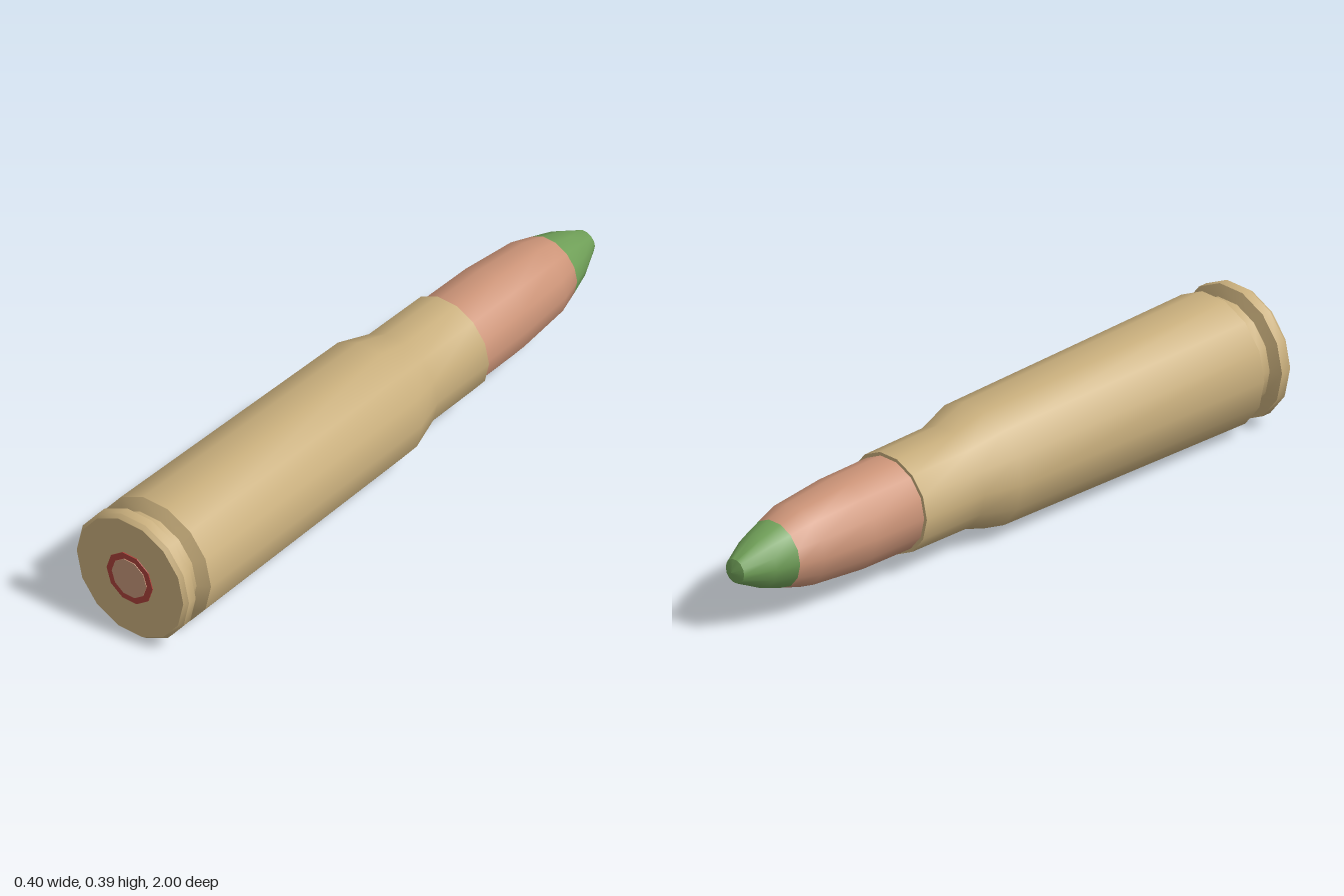
import * as THREE from 'three';
import { toCreasedNormals } from 'three/addons/utils/BufferGeometryUtils.js';

const AXIS_Y = 0.195; // height of the long axis

// Turned part along z; profile is a list of [z, radius] from back to front
function turned(name, profile, sides, color) {
  const points = profile.map(([z, r]) => new THREE.Vector2(r, z));
  const lathe = new THREE.LatheGeometry(points, sides, Math.PI / 2);
  lathe.rotateX(Math.PI / 2);
  const geometry = toCreasedNormals(lathe, THREE.MathUtils.degToRad(32));
  const mesh = new THREE.Mesh(geometry, new THREE.MeshStandardMaterial({ color }));
  mesh.name = name;
  mesh.position.y = AXIS_Y;
  return mesh;
}

export function createModel() {
  const model = new THREE.Group();
  model.name = 'cartridge';

  // Bottlenecked case: mouth, neck, shoulder, body, extractor groove, rim, base
  model.add(turned('case', [
    [-0.36, 0.135], [-0.385, 0.138], [-0.385, 0.15], [-0.16, 0.152],
    [-0.05, 0.185], [0.885, 0.199], [0.907, 0.165], [0.94, 0.165],
    [0.953, 0.2], [0.982, 0.2], [0.995, 0.19], [0.995, 0],
  ], 14, 0xc8ae7c));

  // Bullet jacket, seated into the neck
  model.add(turned('bulletJacket', [
    [-0.83, 0.1], [-0.755, 0.122], [-0.57, 0.138], [-0.35, 0.14],
  ], 14, 0xcc9478));

  // Painted nose
  model.add(turned('bulletTip', [
    [-1, 0], [-0.985, 0.036], [-0.9, 0.078], [-0.83, 0.1],
  ], 14, 0x70a058));

  // Primer sealant ring and primer cup in the base
  model.add(turned('primerSeal', [[0.98, 0.082], [0.998, 0.082], [0.998, 0.06]], 10, 0xaa423a));
  model.add(turned('primer', [[0.98, 0.062], [1, 0.062], [1, 0]], 10, 0xc6967a));

  return model;
}
